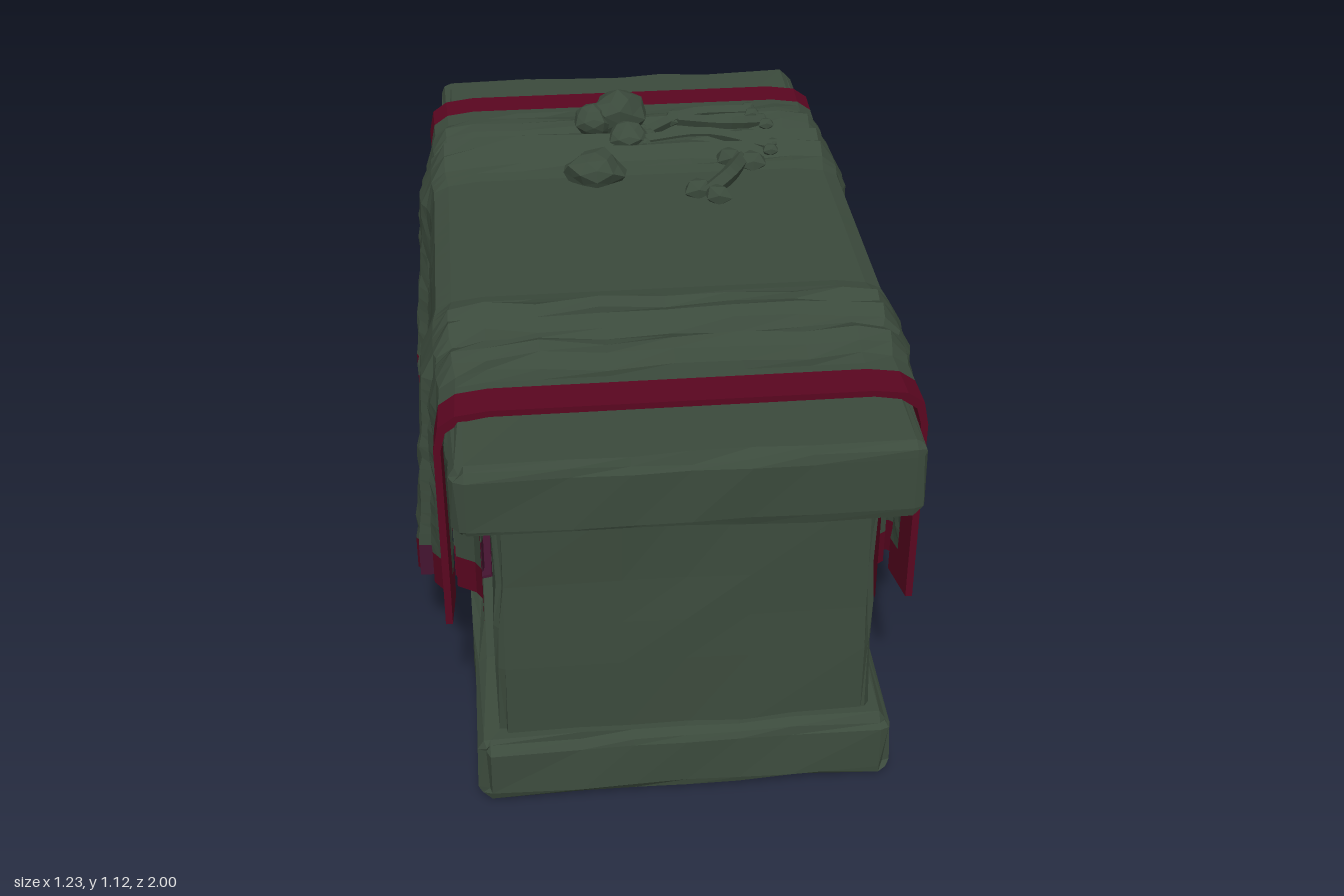
import * as THREE from 'three';

function flat(name, color) {
  const m = new THREE.MeshStandardMaterial({ color, flatShading: true, side: THREE.DoubleSide });
  m.name = name;
  return m;
}
const stone = flat('mossGreen', 0x3b4a3c);
const red = flat('hemRed', 0x5a0620);
const plum = flat('hemPlum', 0x451430);
const lining = flat('liningBrown', 0x4a3e3b);
const clothColours = [stone, red, plum, lining];

// repeatable noise from a position, in -1..1, so shared corners move together
function noise(x, y, z, seed = 0) {
  const r = (v) => Math.round(v * 1000) / 1000 + 0;
  const s = Math.sin(r(x) * 127.1 + r(y) * 311.7 + r(z) * 74.7 + seed * 19.3) * 43758.5453;
  return 2 * (s - Math.floor(s)) - 1;
}

// piecewise linear lookup in [position, value] pairs
function look(table, v) {
  for (let i = 1; i < table.length; i++) {
    const [a, p] = table[i - 1], [b, q] = table[i];
    if (v <= b) return p + (q - p) * (v - a) / (b - a);
  }
  return table[table.length - 1][1];
}

function add(group, name, geometry, material = stone) {
  const mesh = new THREE.Mesh(geometry, material);
  mesh.name = name;
  group.add(mesh);
  return mesh;
}

// block with worn, rounded edges and slightly uneven faces
function wornBlock(w, h, d, bevel, rough, taper, segs) {
  const half = [w / 2, h / 2, d / 2];
  const geo = new THREE.BoxGeometry(w, h, d, ...segs);
  const pos = geo.attributes.position;
  for (let i = 0; i < pos.count; i++) {
    const p = [pos.getX(i), pos.getY(i), pos.getZ(i)];
    const inner = [], off = new THREE.Vector3();
    let extremes = 0;
    p.forEach((v, a) => {
      const lim = half[a] - bevel, step = 2 * half[a] / segs[a];
      // the second ring of corners sits on the bevel line
      if (Math.abs(Math.abs(v) - (half[a] - step)) < 1e-4 && segs[a] > 2) v = Math.sign(v) * lim;
      inner[a] = THREE.MathUtils.clamp(v, -lim, lim);
      off.setComponent(a, v - inner[a]);
      if (Math.abs(v) > lim + 1e-5) extremes++;
    });
    const chip = extremes > 1 ? Math.max(0, noise(...p, 5)) * bevel * 0.5 : 0;
    off.setLength(bevel - chip);
    const k = 1 - taper * (p[1] / h + 0.5);
    const q = inner.map((v, a) => v + off.getComponent(a) - rough * Math.abs(noise(...p, a)) * Math.sign(off.getComponent(a)));
    pos.setXYZ(i, q[0] * k, q[1], q[2] * k);
  }
  geo.computeVertexNormals();
  return geo;
}

// cloth shape by distance from the middle along z
const topHeight = [[0, 0.99], [0.3, 0.988], [0.36, 1.0], [0.4, 1.025], [0.43, 1.012], [0.47, 1.03], [0.52, 0.995], [0.58, 1.022], [0.65, 0.997], [0.81, 0.997]];
const upperX = [[0, 0.545], [0.3, 0.545], [0.36, 0.57], [0.43, 0.573], [0.5, 0.568], [0.52, 0.545], [0.58, 0.555], [0.65, 0.54], [0.81, 0.545]];
const lowerX = [[0, 0.53], [0.2, 0.55], [0.3, 0.565], [0.335, 0.575], [0.36, 0.61], [0.4, 0.595], [0.43, 0.613], [0.47, 0.6], [0.5, 0.605], [0.52, 0.54], [0.58, 0.57], [0.65, 0.535], [0.81, 0.543]];
const lowerY = [[0, 0.2], [0.15, 0.205], [0.3, 0.25], [0.5, 0.33], [0.55, 0.36], [0.81, 0.42]];
const liningX = [[0, 0.5], [0.2, 0.515], [0.335, 0.525], [0.36, 0.515], [0.4, 0.475], [0.47, 0.45], [0.52, 0.455], [0.55, 0.52], [0.58, 0.46], [0.61, 0.515], [0.65, 0.47], [0.69, 0.455], [0.81, 0.455]];
const zHalf = [0.05, 0.1, 0.15, 0.2, 0.25, 0.3, 0.335, 0.36, 0.4, 0.43, 0.47, 0.5, 0.52, 0.55, 0.58, 0.61, 0.65, 0.69, 0.715, 0.805];
const zs = [...zHalf.map((z) => -z).reverse(), 0, ...zHalf];
const last = zs.length - 1;
const hemHeight = 0.09;

// half of one cross-section, from the hanging hem up to the middle of the top
function halfSection(z, side) {
  const a = Math.abs(z), bottom = look(lowerY, a), T = look(topHeight, a);
  const xu = look(upperX, a), xl = look(lowerX, a), pts = [[xl, bottom]];
  const sag = Math.max(0, 1 - (a / 0.34) ** 2), rows = 15, y0 = bottom + hemHeight;
  for (let k = 0; k <= rows; k++) {
    const t = k / rows;
    const fold = sag * Math.sin(Math.PI * t) * [0, 0.04, 0.02][k % 3];
    const y = y0 + (0.9 - y0) * t - 0.15 * sag * Math.sin(Math.PI * t);
    const n = a < 0.7 && k ? 0.004 * noise(z, k, side) : 0;
    pts.push([xl + (xu - xl) * t + fold + n, y]);
  }
  const round = 0.7 * Math.max(0, xu - 0.545);
  pts.push([xu - 0.012 - round, 0.96], [xu - 0.05 - round, T - 0.01]);
  for (const x of [0.42, 0.3, 0.15]) {
    const wave = a > 0.34 && a < 0.68 ? 0.012 * noise(x * side, 1, z) : 0;
    pts.push([x, T + wave]);
  }
  return pts.map(([x, y]) => [x * side, y]);
}

function quad(list, a, b, c, d) {
  list.push(...a, ...b, ...c, ...a, ...c, ...d);
}

// one geometry with a material group for each list of triangles
function grouped(tris) {
  const geo = new THREE.BufferGeometry();
  geo.setAttribute('position', new THREE.Float32BufferAttribute(tris.flat(), 3));
  let start = 0;
  tris.forEach((t, m) => {
    geo.addGroup(start, t.length / 3, m);
    start += t.length / 3;
  });
  geo.computeVertexNormals();
  return geo;
}

function clothGeometry() {
  let M = 0;
  const loops = zs.map((z) => {
    const outer = [...halfSection(z, 1), [0, look(topHeight, Math.abs(z))], ...halfSection(z, -1).reverse()];
    M = outer.length;
    const inner = outer.map(([x, y]) => [x - Math.sign(x) * (Math.abs(x) > 0.45 ? 0.016 : 0), y > 0.94 ? y - 0.015 : y]);
    return [...outer, ...inner.reverse()].map(([x, y]) => [x, y, z]);
  });
  const L = 2 * M, tris = [[], [], [], []];
  for (let i = 0; i < last; i++) {
    const mid = Math.abs(zs[i] + zs[i + 1]) / 2;
    for (let j = 0; j < L; j++) {
      const k = (j + 1) % L;
      let m = 0;
      if (i === 0 || i === last - 1) m = 1;
      else if (j === 0 || j === M - 2 || j === M - 1 || j === L - 1) m = mid > 0.5 && mid < 0.54 ? 2 : 1;
      else if (j === M || j === L - 2) m = mid > 0.34 && mid < 0.52 ? 3 : 1;
      quad(tris[m], loops[i][j], loops[i][k], loops[i + 1][k], loops[i + 1][j]);
    }
  }
  // thin edges at both ends
  for (let j = 0; j < M - 1; j++) {
    const f = loops[last], b = loops[0];
    quad(tris[1], f[j], f[j + 1], f[L - 2 - j], f[L - 1 - j]);
    quad(tris[1], b[j + 1], b[j], b[L - 1 - j], b[L - 2 - j]);
  }
  return grouped(tris);
}

// second layer hanging in folds close to the body, under the lid
function underClothGeometry(side) {
  const tris = [[], [], [], []];
  const columns = zs.map((z) => {
    const a = Math.abs(z), x = look(liningX, a), bottom = look(lowerY, a);
    const top = bottom + hemHeight;
    return [[x, bottom], [x, top], [x, (top + 0.79) / 2], [x, 0.79]].map(([px, y]) => [px * side, y, z]);
  });
  for (let i = 0; i < last; i++) {
    const mid = Math.abs(zs[i] + zs[i + 1]) / 2;
    for (let j = 0; j < 3; j++) {
      const m = i === 0 || i === last - 1 ? 1 : j ? 0 : mid > 0.36 && mid < 0.54 ? 2 : 1;
      const q = [columns[i][j], columns[i][j + 1], columns[i + 1][j + 1], columns[i + 1][j]];
      quad(tris[m], ...(side > 0 ? q : q.reverse()));
    }
  }
  return grouped(tris);
}

// faceted lump with uneven corners
function lump(rx, ry, rz, seed, detail = 1) {
  const geo = new THREE.IcosahedronGeometry(1, detail);
  const pos = geo.attributes.position;
  for (let i = 0; i < pos.count; i++) {
    const x = pos.getX(i), y = pos.getY(i), z = pos.getZ(i);
    const k = 1 + 0.14 * noise(x, y, z, seed);
    pos.setXYZ(i, x * rx * k, y * ry * k, z * rz * k);
  }
  geo.computeVertexNormals();
  return geo;
}

// bone: a bent shaft with two knobs at each end
function bone(points, radius, knob) {
  const g = new THREE.Group();
  const path = points.map((p) => new THREE.Vector3(...p));
  add(g, 'boneShaft', new THREE.TubeGeometry(new THREE.CatmullRomCurve3(path), 8, radius, 5));
  const ends = [[path[0], path[1]], [path[path.length - 1], path[path.length - 2]]];
  ends.forEach(([end, next], e) => {
    const dir = end.clone().sub(next).normalize();
    for (const s of [-1, 1]) {
      const m = add(g, 'boneKnob', lump(knob, knob * 0.75, knob, e + s, 0));
      m.position.set(end.x - dir.z * s * knob * 0.8, end.y, end.z + dir.x * s * knob * 0.8);
    }
  });
  return g;
}

export function createModel() {
  const model = new THREE.Group();
  model.name = 'drapedTomb';

  // stone blocks
  add(model, 'baseSlab', wornBlock(0.985, 0.185, 1.945, 0.035, 0.012, 0.005, [8, 3, 12])).position.y = 0.0925;
  add(model, 'tombBody', wornBlock(0.88, 0.68, 1.85, 0.025, 0.01, 0.02, [6, 6, 10])).position.y = 0.48;
  add(model, 'lid', wornBlock(1.03, 0.2, 2.0, 0.035, 0.01, 0, [8, 3, 12])).position.y = 0.878;

  // draped cloth with coloured hem, its inner layer and the stain below on each side
  add(model, 'cloth', clothGeometry(), clothColours);
  for (const side of [1, -1]) {
    add(model, 'underCloth', underClothGeometry(side), clothColours);
    const stain = add(model, 'slabStain', new THREE.BoxGeometry(0.045, 0.008, 0.48), plum);
    stain.position.set(side * 0.455, 0.185, 0.1);
    stain.rotation.z = -side * 0.2;
  }

  // skull: dome, jaw and cheek
  const skull = new THREE.Group();
  skull.name = 'skull';
  add(skull, 'cranium', lump(0.075, 0.065, 0.075, 3)).position.set(0.01, 0.055, -0.02);
  add(skull, 'jaw', lump(0.055, 0.04, 0.06, 4)).position.set(0.03, 0.025, 0.06);
  add(skull, 'cheek', lump(0.05, 0.045, 0.05, 6)).position.set(-0.06, 0.05, 0.01);
  skull.position.set(-0.04, 0.995, -0.53);
  model.add(skull);

  add(model, 'skullFragment', lump(0.08, 0.055, 0.07, 8)).position.set(-0.11, 1.005, -0.3);

  // scattered bones
  const bones = [
    [[[0.17, 1.0, -0.16], [0.235, 1.008, -0.24], [0.28, 1.0, -0.34]], 0.024, 0.038],
    [[[0.03, 1.015, -0.45], [0.2, 1.025, -0.46], [0.37, 1.01, -0.39]], 0.018, 0.022],
    [[[0.04, 1.015, -0.5], [0.16, 1.025, -0.58], [0.34, 1.02, -0.6]], 0.018, 0.022],
    [[[0.12, 1.02, -0.57], [0.26, 1.025, -0.52], [0.37, 1.01, -0.55]], 0.018, 0.022],
  ];
  bones.forEach(([points, r, k], i) => {
    const b = bone(points, r, k);
    b.name = 'bone' + (i + 1);
    model.add(b);
  });
  return model;
}
